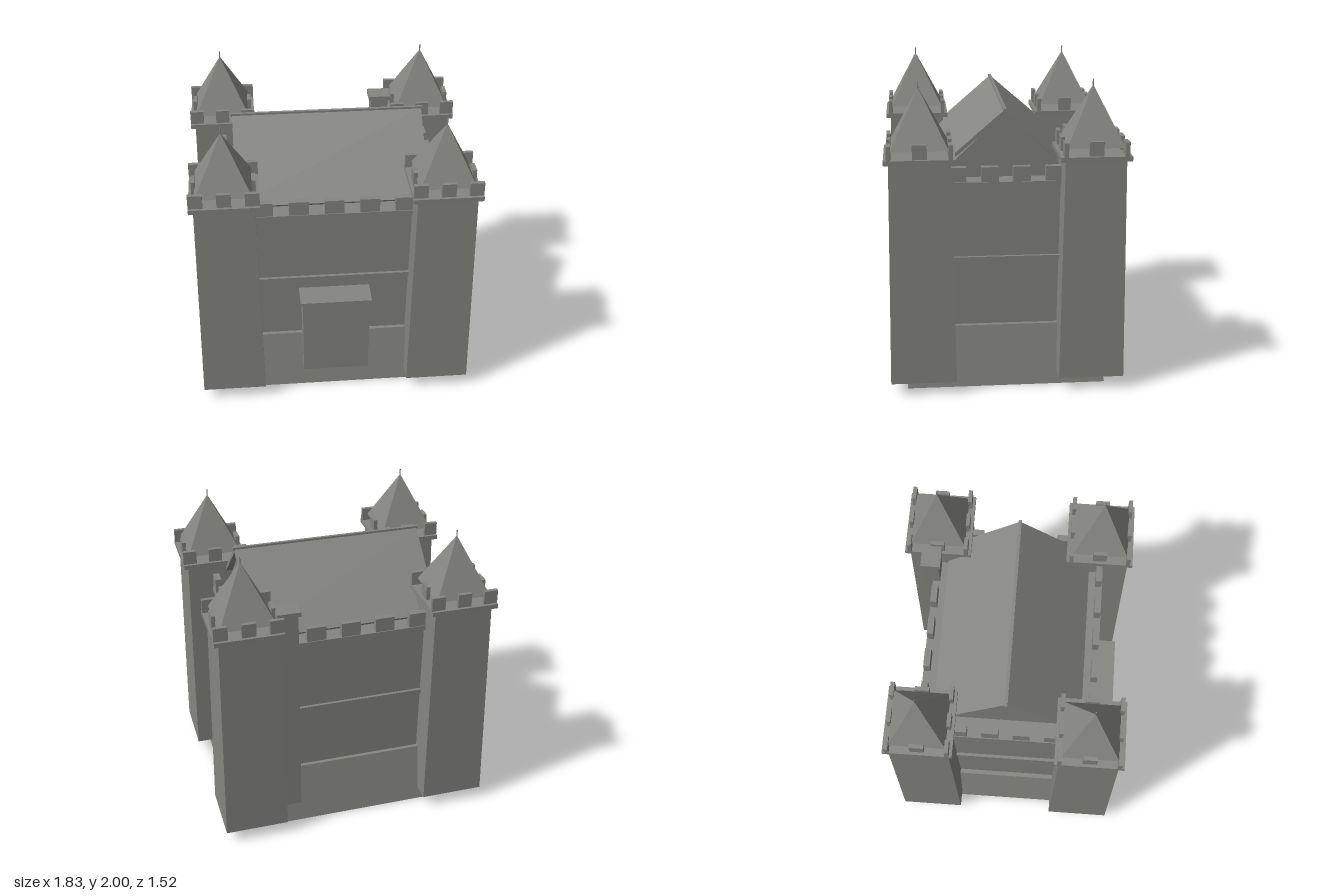
import * as THREE from 'three';

const stone = new THREE.MeshStandardMaterial({ color: 0x858581 });
stone.name = 'stone grey';

export function createModel() {
  const model = new THREE.Group();
  model.name = 'castle';

  const add = (name, geometry, parent = model) => {
    const mesh = new THREE.Mesh(geometry, stone);
    mesh.name = name;
    parent.add(mesh);
    return mesh;
  };

  // Box given by centre x/z, size and its bottom and top heights
  const box = (name, x, z, w, d, y0, y1, parent) =>
    add(name, new THREE.BoxGeometry(w, y1 - y0, d).translate(x, (y0 + y1) / 2, z), parent);

  // Box whose top face has its own width and depth
  const taperedBox = (name, w0, d0, w1, d1, y0, y1, parent) => {
    const g = new THREE.BoxGeometry(1, y1 - y0, 1).translate(0, (y0 + y1) / 2, 0);
    const p = g.attributes.position;
    for (let i = 0; i < p.count; i++) {
      const top = p.getY(i) > (y0 + y1) / 2;
      p.setX(i, p.getX(i) * (top ? w1 : w0));
      p.setZ(i, p.getZ(i) * (top ? d1 : d0));
    }
    g.computeVertexNormals();
    return add(name, g, parent);
  };

  // Outline in the z-y plane, extruded along x
  const prism = (name, points, length) => {
    const shape = new THREE.Shape(points.map(([x, y]) => new THREE.Vector2(x, y)));
    const g = new THREE.ExtrudeGeometry(shape, { depth: length, bevelEnabled: false });
    return add(name, g.translate(0, 0, -length / 2).rotateY(Math.PI / 2));
  };

  // Keep: sloping plinth, walls and horizontal bands
  taperedBox('plinth', 1.6, 1.29, 1.46, 1.15, 0, 0.4);
  box('walls', 0, 0, 1.4, 1.1, 0.4, 1.33);
  box('stringCourse', 0, 0, 1.44, 1.14, 0.835, 0.865);
  box('cornice', 0, 0, 1.45, 1.15, 1.325, 1.36);

  // Battlements of the keep
  for (const s of [-1, 1]) {
    for (let i = -2; i <= 2; i++) box('wallMerlon', i * 0.228, s * 0.548, 0.126, 0.042, 1.36, 1.455);
    for (const z of [-0.305, -0.1, 0.1, 0.305]) box('wallMerlon', s * 0.698, z, 0.042, 0.11, 1.36, 1.455);
  }

  // Gabled roof
  prism('gable', [[-0.44, 1.355], [0.44, 1.355], [0, 1.772]], 1.18);
  prism('roof', [[0, 1.8], [-0.48, 1.385], [-0.466, 1.367], [0, 1.77], [0.466, 1.367], [0.48, 1.385]], 1.25);
  box('ridge', 0, 0, 1.27, 0.02, 1.785, 1.805);

  // Gatehouse block
  box('gatehouse', 0, 0.6, 0.44, 0.22, 0.185, 0.745);
  box('gatehouseCap', 0, 0.61, 0.47, 0.23, 0.745, 0.765);

  // Chimney on the back wall
  box('chimney', 0.422, -0.575, 0.125, 0.1, 0.13, 1.59);
  box('chimneyCap', 0.422, -0.575, 0.155, 0.13, 1.59, 1.62);

  // Corner towers
  for (const sx of [-1, 1]) for (const sz of [-1, 1]) {
    const tower = new THREE.Group();
    tower.name = 'cornerTower';
    tower.position.set(sx * 0.695, 0, sz * 0.54);
    model.add(tower);

    taperedBox('towerShaft', 0.42, 0.42, 0.38, 0.38, 0.085, 1.525, tower);
    box('towerCap', 0, 0, 0.44, 0.44, 1.525, 1.555, tower);
    for (const s of [-1, 1]) {
      for (const x of [-0.175, 0, 0.175]) box('towerMerlon', x, s * 0.188, 0.09, 0.026, 1.555, 1.645, tower);
      box('towerMerlon', s * 0.188, 0, 0.026, 0.09, 1.555, 1.645, tower);
    }
    const spire = new THREE.CylinderGeometry(0.002, 0.18 * Math.SQRT2, 0.36, 4).rotateY(Math.PI / 4).toNonIndexed();
    spire.computeVertexNormals();
    add('spire', spire.translate(0, 1.78, 0), tower);
    add('finial', new THREE.CylinderGeometry(0.004, 0.004, 0.06, 8).translate(0, 1.97, 0), tower);
  }

  return model;
}
